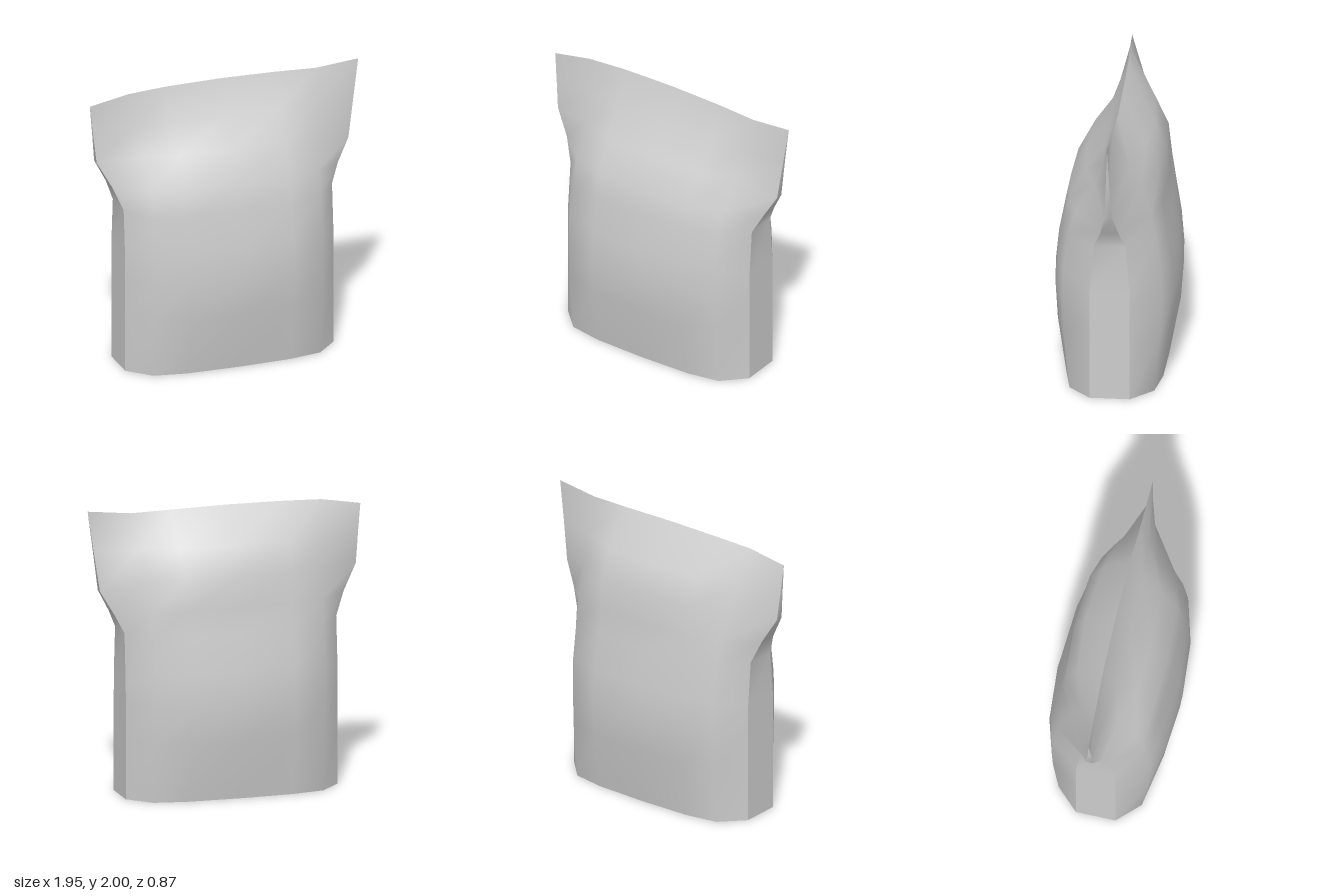
import * as THREE from 'three';

const material = new THREE.MeshStandardMaterial({ color: 0xcccccc, side: THREE.DoubleSide });

// Smooth sheet through a grid of [x, y, z] points (rows run upward, columns rightward)
function sheet(name, rows) {
  const n = rows[0].length, index = [];
  for (let j = 0; j < rows.length - 1; j++) {
    for (let i = 0; i < n - 1; i++) {
      const a = j * n + i, b = a + 1, c = b + n, d = a + n;
      index.push(a, b, c, a, c, d);
    }
  }
  const geometry = new THREE.BufferGeometry();
  geometry.setAttribute('position', new THREE.Float32BufferAttribute(rows.flat(2), 3));
  geometry.setIndex(index);
  geometry.computeVertexNormals();
  const mesh = new THREE.Mesh(geometry, material);
  mesh.name = name;
  return mesh;
}

// Levels of the pouch: y = [left edge, middle, right edge], x = [left edge, right edge],
// spread = inner columns, front/back = depth at [centre, inner, outer, edge]
const levels = [
  { y: [0, 0, 0], x: [-0.77, 0.74], spread: [0.375, 0.605], front: [0.34, 0.33, 0.29, 0.14], back: [-0.34, -0.33, -0.29, -0.135] },
  { y: [0.42, 0.42, 0.42], x: [-0.77, 0.74], spread: [0.375, 0.605], front: [0.418, 0.39, 0.33, 0.14], back: [-0.418, -0.39, -0.33, -0.135] },
  { y: [0.67, 0.67, 0.67], x: [-0.77, 0.74], spread: [0.375, 0.605], front: [0.437, 0.405, 0.34, 0.14], back: [-0.437, -0.408, -0.34, -0.135] },
  { y: [0.85, 0.9, 0.82], x: [-0.77, 0.74], spread: [0.375, 0.605], front: [0.414, 0.39, 0.335, 0.138], back: [-0.412, -0.39, -0.335, -0.133] },
  { y: [1.17, 1.16, 1.155], x: [-0.77, 0.74], spread: [0.375, 0.605], front: [0.365, 0.35, 0.3, 0.11], back: [-0.365, -0.35, -0.3, -0.105] },
  { y: [1.33, 1.33, 1.28], x: [-0.835, 0.8], spread: [0.375, 0.605], front: [0.33, 0.315, 0.25, 0.06], back: [-0.335, -0.325, -0.27, -0.065] },
  { y: [1.51, 1.55, 1.44], x: [-0.935, 0.89], spread: [0.38, 0.62], front: [0.22, 0.2, 0.12, 0.025], back: [-0.322, -0.3, -0.2, -0.025] },
  { y: [1.72, 1.74, 1.72], x: [-0.955, 0.93], spread: [0.39, 0.65], front: [0.07, 0.065, 0.05, 0.012], back: [-0.245, -0.21, -0.12, -0.01] },
  { y: [1.92, 1.985, 2.0], x: [-0.975, 0.97], spread: [0.4, 0.68], front: [-0.025, -0.022, -0.01, 0], back: [-0.025, -0.022, -0.01, 0] },
];

// Left-to-right points of one face at one level
function levelPoints({ y, x, spread }, depth) {
  const [inner, outer] = spread;
  const dip = y[1] > 1.9 ? 0.016 : 0;
  const [c, i, o, e] = depth;
  return [
    [x[0], y[0], e], [-0.015 - outer, y[1] - dip, o], [-0.015 - inner, y[1] - dip / 4, i],
    [-0.015, y[1], c],
    [-0.015 + inner, y[1] - dip / 2, i], [-0.015 + outer, y[1] - dip, o], [x[1], y[2], e],
  ];
}

export function createModel() {
  const group = new THREE.Group();
  group.name = 'pouch';
  const front = levels.map((l) => levelPoints(l, l.front));
  const back = levels.map((l) => levelPoints(l, l.back));

  // Bulging panels meeting in a pinched top seam
  group.add(sheet('frontPanel', front));
  group.add(sheet('backPanel', back.map((row) => [...row].reverse())));

  // Side gussets that narrow to a seam
  group.add(sheet('leftGusset', front.map((row, j) => [row[6], back[j][6]])));
  group.add(sheet('rightGusset', front.map((row, j) => [back[j][0], row[0]])));

  // Underside: a rim sloping in to a raised floor
  const inset = ([x, , z]) => [-0.015 + (x + 0.015) * 0.74, 0.11, z * 0.74];
  const ring = [...front[0], ...[...back[0]].reverse(), front[0][0]].reverse();
  group.add(sheet('bottomRim', [ring, ring.map(inset)]));
  group.add(sheet('bottomFloor', [back[0].map(inset), front[0].map(inset)]));
  return group;
}
